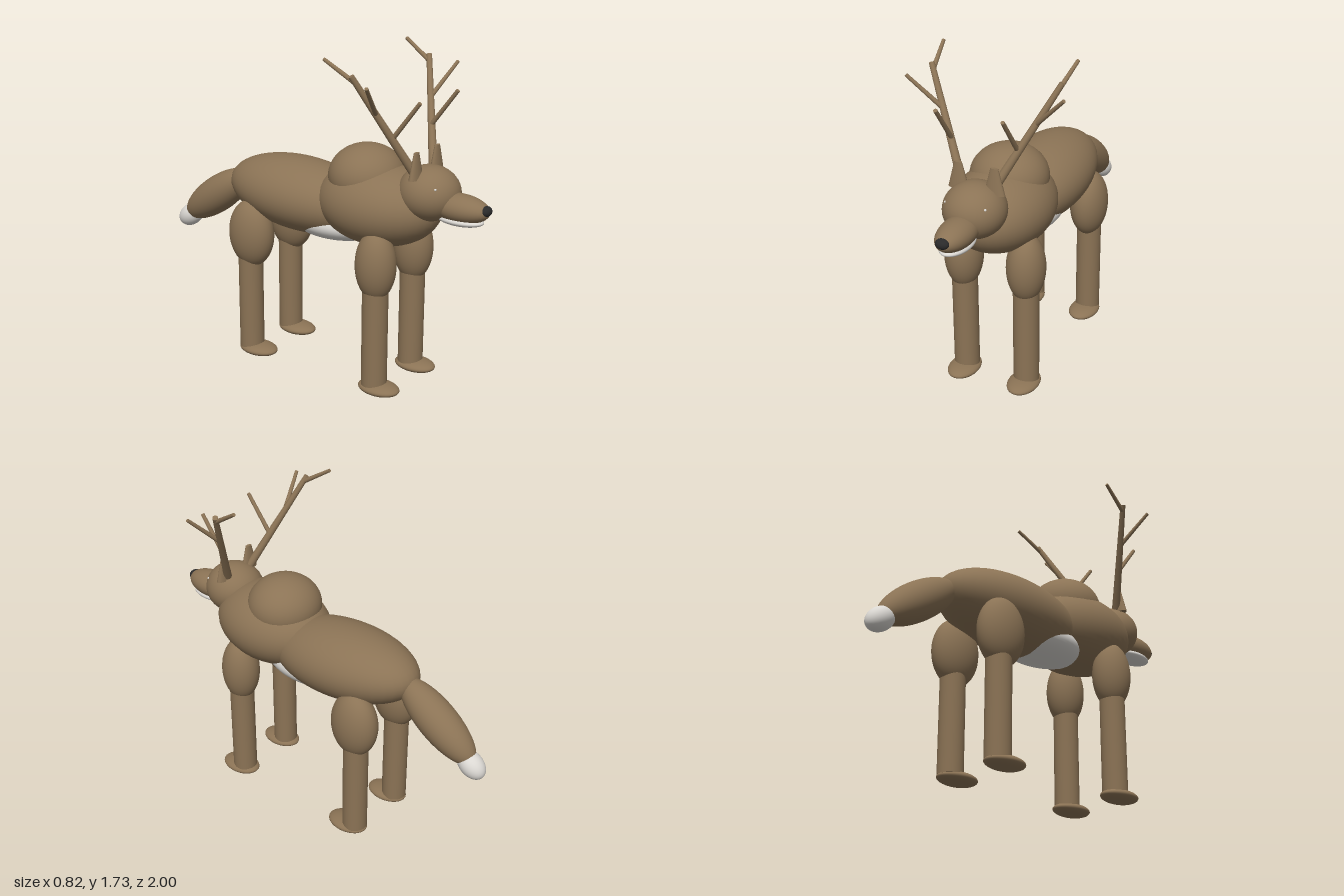
import * as THREE from 'three';

export function createModel() {
  const group = new THREE.Group();
  const mat = (name, color) => {
    const m = new THREE.MeshStandardMaterial({ color });
    m.name = name;
    return m;
  };
  const brown = mat('brown fur', 0x8b7355);
  const white = mat('pale fur', 0xdad7d2);
  const black = mat('black nose', 0x2a2a2a);

  const ball = new THREE.SphereGeometry(1, 40, 28);

  const add = (name, geometry, material, pos) => {
    const mesh = new THREE.Mesh(geometry, material);
    mesh.name = name;
    mesh.position.set(...pos);
    group.add(mesh);
    return mesh;
  };
  // Ellipsoid with its long axis along z, pitched about x
  const ellipsoid = (name, material, pos, radii, pitch = 0) => {
    const mesh = add(name, ball, material, pos);
    mesh.scale.set(...radii);
    mesh.rotation.x = pitch;
    return mesh;
  };
  // Tapered round rod between two points
  const rod = (name, a, b, r0, r1) => {
    const from = new THREE.Vector3(...a), to = new THREE.Vector3(...b);
    const dir = to.clone().sub(from);
    const mid = from.clone().add(to).multiplyScalar(0.5);
    const mesh = add(name, new THREE.CylinderGeometry(r1, r0, dir.length(), 16), brown, mid.toArray());
    mesh.quaternion.setFromUnitVectors(new THREE.Vector3(0, 1, 0), dir.normalize());
  };

  // Trunk
  ellipsoid('body', brown, [0, 0.91, -0.115], [0.24, 0.19, 0.45], 0.06);
  ellipsoid('chest', brown, [0, 0.95, 0.37], [0.255, 0.21, 0.34]);
  ellipsoid('shoulderHump', brown, [0, 1.08, 0.295], [0.2, 0.165, 0.195]);
  ellipsoid('bellyPatch', white, [0, 0.81, 0.1], [0.18, 0.095, 0.28]);

  // Tail
  ellipsoid('tail', brown, [0, 0.79, -0.71], [0.1, 0.1, 0.27], -0.61);
  ellipsoid('tailTip', white, [0, 0.627, -0.922], [0.06, 0.06, 0.085], -0.61);

  // Head
  ellipsoid('head', brown, [0, 1.057, 0.66], [0.155, 0.138, 0.157]);
  ellipsoid('muzzle', brown, [0, 1.013, 0.83], [0.085, 0.07, 0.16]);
  ellipsoid('lowerJaw', white, [0, 0.957, 0.835], [0.072, 0.028, 0.125]);
  ellipsoid('nose', black, [0, 1.023, 0.973], [0.035, 0.026, 0.027]);

  for (const [side, s] of [['left', 1], ['right', -1]]) {
    const at = (x, y, z) => [s * x, y, z];

    ellipsoid(side + 'Eye', white, at(0.104, 1.114, 0.755), [0.006, 0.006, 0.006]);

    // Flattened, tapering ear
    const ear = add(side + 'Ear', new THREE.CylinderGeometry(0.02, 0.054, 0.13, 20), brown, at(0.094, 1.209, 0.64));
    ear.scale.z = 0.45;

    // Antler beam and three tines
    rod(side + 'AntlerBeam', at(0.085, 1.165, 0.625), at(0.338, 1.655, 0.43), 0.022, 0.014);
    rod(side + 'AntlerLowerTine', at(0.172, 1.345, 0.555), at(0.17, 1.535, 0.7), 0.012, 0.01);
    rod(side + 'AntlerOuterTine', at(0.24, 1.465, 0.505), at(0.403, 1.625, 0.56), 0.012, 0.009);
    rod(side + 'AntlerUpperTine', at(0.325, 1.625, 0.44), at(0.352, 1.72, 0.285), 0.012, 0.009);

    // Legs: name, leg z, thigh z, thigh depth, hoof z
    for (const [end, z, thighZ, depth, hoofZ] of [
      ['Front', 0.47, 0.47, 0.106, 0.5],
      ['Back', -0.335, -0.325, 0.133, -0.29],
    ]) {
      ellipsoid(side + end + 'Thigh', brown, at(0.172, 0.69, thighZ), [0.098, 0.183, depth]);
      add(side + end + 'Leg', new THREE.CylinderGeometry(0.066, 0.066, 0.57, 32), brown, at(0.171, 0.325, z));
      ellipsoid(side + end + 'Hoof', brown, at(0.171, 0.032, hoofZ), [0.08, 0.032, 0.115]);
    }
  }
  return group;
}
